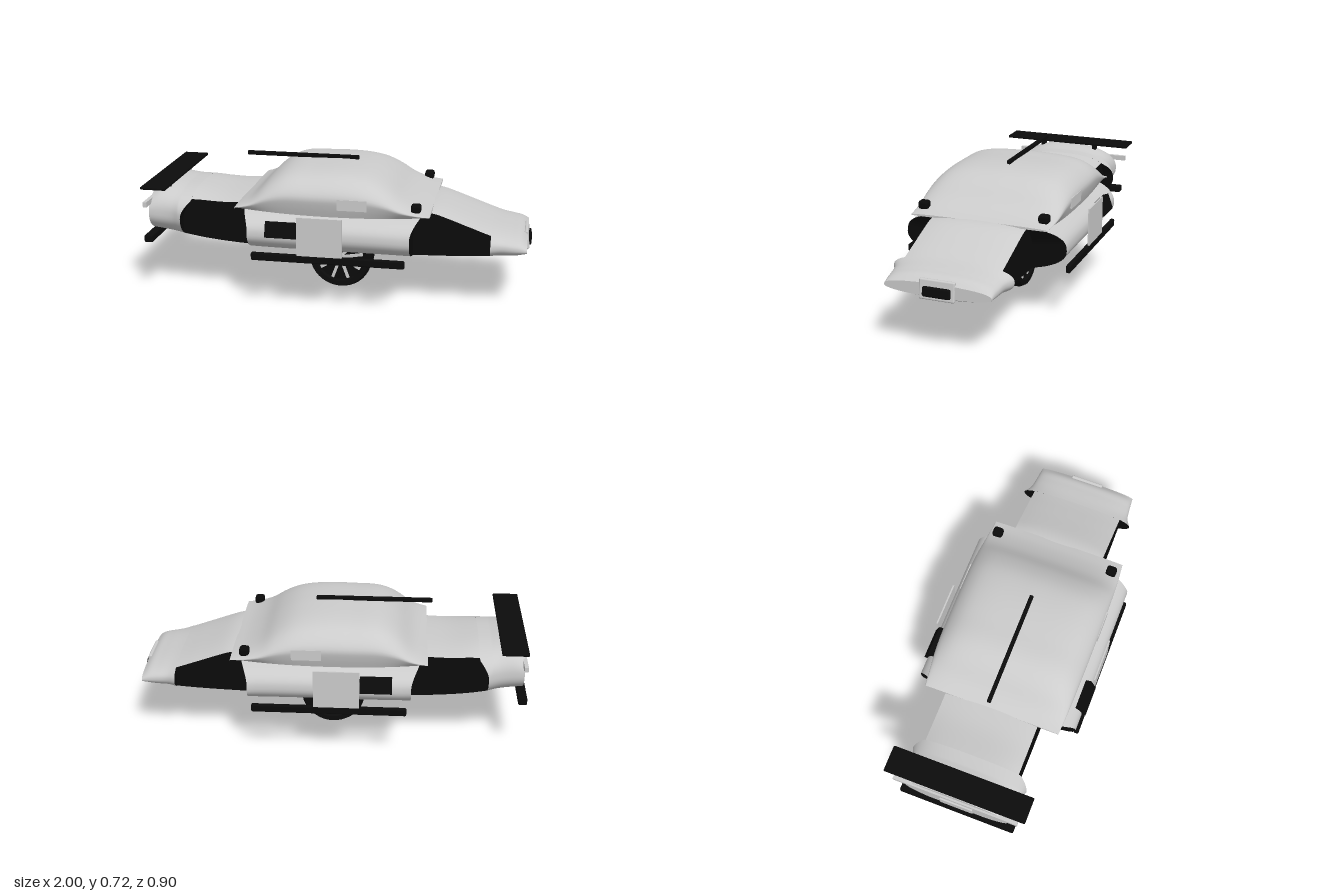
import * as THREE from 'three';
import { RoundedBoxGeometry } from 'three/addons/geometries/RoundedBoxGeometry.js';

const grey = new THREE.MeshStandardMaterial({ color: 0xcccccc, side: THREE.DoubleSide });
const black = new THREE.MeshStandardMaterial({ color: 0x0b0b0b, side: THREE.DoubleSide });

// Smooth lookup through [position, value] pairs
function table(pairs) {
  const f = new THREE.CubicInterpolant(pairs.map(p => p[0]), pairs.map(p => p[1]), 1);
  return x => f.evaluate(x)[0];
}
const range = (a, b, n) => Array.from({ length: n + 1 }, (_, i) => a + (b - a) * i / n);

// Surface through rows of points
function grid(rows) {
  const n = rows[0].length, index = [];
  for (let i = 0; i < rows.length - 1; i++)
    for (let j = 0; j < n - 1; j++) {
      const a = i * n + j, b = a + n;
      index.push(a, b, b + 1, a, b + 1, a + 1);
    }
  const g = new THREE.BufferGeometry();
  g.setAttribute('position', new THREE.Float32BufferAttribute(rows.flat(2), 3));
  g.setIndex(index);
  g.computeVertexNormals();
  return g;
}

// Hull profiles along the length
const top = table([[-0.98, 0.54], [-0.93, 0.563], [-0.8, 0.547], [-0.6, 0.523], [-0.4, 0.52], [0.4, 0.52],
  [0.5, 0.515], [0.6, 0.492], [0.7, 0.458], [0.8, 0.422], [0.9, 0.402], [0.95, 0.39], [0.98, 0.365]]);
const bottom = table([[-0.98, 0.295], [-0.8, 0.272], [-0.4, 0.26], [0, 0.256], [0.4, 0.256], [0.8, 0.264], [0.93, 0.275], [0.98, 0.3]]);
const waist = table([[-0.98, 0.42], [-0.4, 0.39], [0.4, 0.385], [0.8, 0.35], [0.98, 0.33]]);
const neckWidth = x => 0.43 - 0.12 * (Math.abs(x) - 0.41) / 0.39;
const NECK = 0.25, WELL = 0.605;

// Height of the hull skin at a given width
function skin(x, z, w, up) {
  const e = up ? 2.5 : 2.2, m = waist(x);
  const s = Math.pow(Math.max(0, 1 - Math.pow(Math.abs(z) / w, e)), 1 / e);
  return m + s * ((up ? top(x) : bottom(x)) - m);
}
// Rounds the upper corners of the wheel openings
function arch(x, y) {
  if (Math.abs(x) < 0.409 || Math.abs(x) > 0.801) return x;
  const c = Math.sign(x) * WELL, t = Math.min(1, Math.max(0, (y - 0.41) / 0.09));
  return c + (x - c) * (1 - 0.25 * t * t);
}
const ring = (x, w) => range(-Math.PI / 2, 1.5 * Math.PI, 64).map(a => {
  const z = w * Math.sign(Math.cos(a)) * Math.pow(Math.abs(Math.cos(a)), 0.8);
  const y = skin(x, z, w, Math.sin(a) > 0);
  return [arch(x, y), y, z];
});
const centre = r => r.map(() => [r[0][0], 0.37, 0]);

export function createModel() {
  const model = new THREE.Group();
  const add = (name, geometry, material, x = 0, y = 0, z = 0) => {
    const m = new THREE.Mesh(geometry, material);
    m.name = name;
    m.position.set(x, y, z);
    model.add(m);
    return m;
  };
  const box = (name, mat, x0, x1, y0, y1, z0, z1, r = 0) => add(name,
    r ? new RoundedBoxGeometry(x1 - x0, y1 - y0, z1 - z0, 2, r) : new THREE.BoxGeometry(x1 - x0, y1 - y0, z1 - z0),
    mat, (x0 + x1) / 2, (y0 + y1) / 2, (z0 + z1) / 2);

  // Full-width hull blocks: tail, middle and nose
  const noseWidth = table([[0.8, 0.31], [0.84, 0.287], [0.9, 0.277], [0.98, 0.27]]);
  const tailWidth = table([[-0.98, 0.275], [-0.85, 0.285], [-0.8, 0.31]]);
  const blocks = [['tail', -0.98, -0.8, tailWidth, grey, black],
    ['middleHull', -0.41, 0.41, () => 0.43, black, black], ['nose', 0.8, 0.98, noseWidth, black, grey]];
  for (const [name, x0, x1, w, backMat, frontMat] of blocks) {
    const rows = range(x0, x1, 16).map(x => ring(x, w(x)));
    const last = rows[rows.length - 1];
    add(name, grid(rows), grey);
    add(name + 'BackFace', grid([centre(rows[0]), rows[0]]), backMat);
    add(name + 'FrontFace', grid([last, centre(last)]), frontMat);
  }

  // Narrow necks with dark wheel-well walls
  for (const s of [-1, 1]) {
    const xs = s < 0 ? range(-0.8, -0.41, 14) : range(0.41, 0.8, 14);
    const point = (x, z, up) => {
      const y = skin(x, z, neckWidth(x), up);
      return [arch(x, y), y, z];
    };
    const strip = (a, b, up) => grid(xs.map(x => range(a, b, 16).map(z => point(x, z, up))));
    const name = s < 0 ? 'rear' : 'front';
    add(name + 'NeckTop', strip(NECK, -NECK, true), grey);
    add(name + 'NeckBottom', strip(-NECK, NECK, false), grey);
    for (const side of [1, -1]) {
      const wall = xs.map(x => {
        const lo = skin(x, NECK, neckWidth(x), false), hi = skin(x, NECK, neckWidth(x), true);
        const col = range(lo, hi, 8).map(y => [arch(x, y), y, side * NECK]);
        return side > 0 ? col : col.reverse();
      });
      add(name + 'WellWall', grid(wall), black);
    }
  }

  // Cabin
  const roof = table([[-0.49, 0.517], [-0.42, 0.558], [-0.33, 0.642], [-0.25, 0.685], [-0.1, 0.698], [0.1, 0.695],
    [0.2, 0.675], [0.28, 0.635], [0.36, 0.575], [0.44, 0.535], [0.5, 0.517]]);
  const sill = x => 0.485 + 0.08 * x * x;
  const half = new THREE.SplineCurve([[0.355, 0], [0.372, 0.25], [0.378, 0.48], [0.345, 0.7], [0.28, 0.88], [0.17, 0.97], [0, 1]]
    .map(p => new THREE.Vector2(...p))).getPoints(20).map(p => [p.x, p.y]);
  const outline = [...half, ...half.slice(0, -1).reverse().map(([z, y]) => [-z, y])];
  const cabinRows = range(-0.49, 0.5, 48).map(x => {
    const b = sill(x), h = roof(x) - b;
    const pinch = 1 - 0.05 * Math.pow(Math.abs(x) / 0.5, 3);
    return outline.map(([z, y]) => [x, b + y * h, z * pinch]);
  });
  add('cabin', grid(cabinRows), grey);
  add('cabinFloor', grid(cabinRows.map(r => [r[r.length - 1], r[0]])), grey);
  for (const r of [cabinRows[0], cabinRows[48]])
    add('cabinEdge', grid([r, r.map(p => [p[0], sill(p[0]), p[2]])]), grey);
  box('roofBar', black, -0.51, 0.09, 0.695, 0.717, -0.01, 0.01, 0.006);

  // Side fittings, mirrored
  for (const s of [-1, 1]) {
    const sideBox = (name, mat, x0, x1, y0, y1, z, t, r) =>
      box(name, mat, x0, x1, y0, y1, s * z - t / 2, s * z + t / 2, r);
    sideBox('sillBar', black, -0.39, 0.39, 0.262, 0.303, 0.43, 0.024, 0.008);
    sideBox('sidePlate', grey, -0.153, 0.077, 0.3, 0.5, 0.436, 0.008);
    sideBox('sideVent', black, -0.315, -0.155, 0.382, 0.465, 0.42, 0.035).rotation.x = -s * 0.35;
    sideBox('windowPanel', grey, 0.04, 0.19, 0.53, 0.585, 0.366, 0.03);
    sideBox('cornerLamp', black, 0.405, 0.455, 0.523, 0.567, 0.32, 0.054, 0.014);
    sideBox('spoilerPost', black, -0.928, -0.888, 0.545, 0.582, 0.16, 0.02);
  }

  // Rear spoiler and bumpers
  box('spoiler', black, -0.985, -0.85, 0.579, 0.594, -0.37, 0.37, 0.006);
  box('rearRail', grey, -0.99, -0.97, 0.473, 0.5, -0.33, 0.33);
  box('rearBumper', black, -1, -0.955, 0.275, 0.312, -0.31, 0.31, 0.006);
  box('rearPlate', grey, -0.99, -0.975, 0.34, 0.42, -0.09, 0.09, 0.006);

  // Nose plate
  box('nosePlateFrame', grey, 0.966, 0.986, 0.286, 0.385, -0.09, 0.09, 0.008).rotation.z = 0.12;
  box('nosePlate', black, 0.975, 0.998, 0.302, 0.352, -0.071, 0.071, 0.01).rotation.z = 0.12;

  // Central wheel
  const wheel = new THREE.Group();
  wheel.name = 'wheel';
  wheel.position.y = 0.168;
  const part = (name, geometry, mat) => {
    const m = new THREE.Mesh(geometry, mat);
    m.name = name;
    wheel.add(m);
    return m;
  };
  const profile = [[0, -0.055], [0.126, -0.055], [0.13, -0.075], [0.155, -0.075], [0.168, -0.05],
    [0.168, 0.05], [0.155, 0.075], [0.13, 0.075], [0.126, 0.055], [0, 0.055]].map(p => new THREE.Vector2(...p));
  const tyre = new THREE.LatheGeometry(profile, 40).toNonIndexed();
  tyre.computeVertexNormals();
  part('tyre', tyre, black).rotation.x = Math.PI / 2;
  part('hub', new THREE.CylinderGeometry(0.024, 0.024, 0.136, 20), grey).rotation.x = Math.PI / 2;
  for (let i = 0; i < 9; i++) {
    const a = i / 9 * 2 * Math.PI + Math.PI / 2;
    const spoke = part('spoke', new THREE.BoxGeometry(0.106, 0.016, 0.124), grey);
    spoke.position.set(Math.cos(a) * 0.07, Math.sin(a) * 0.07, 0);
    spoke.rotation.z = a;
  }
  model.add(wheel);
  return model;
}
